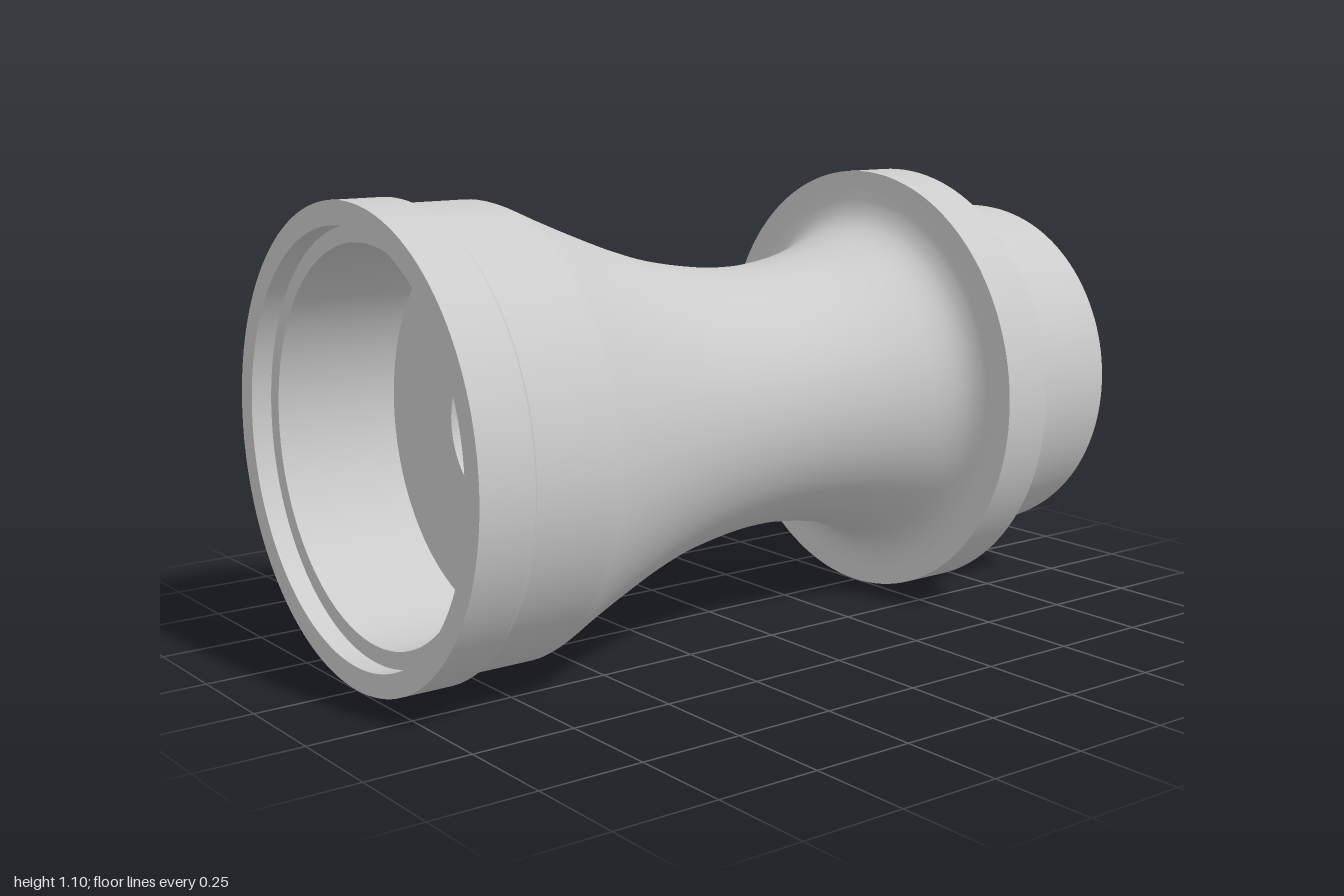
import * as THREE from 'three';

const material = new THREE.MeshStandardMaterial({ color: 0xcccccc });
const SEGMENTS = 128;
const RADIUS = 0.55;

const toPoints = (list) => list.map(([r, z]) => new THREE.Vector2(r, z));

// Revolves one smooth run of [radius, z] points about the z axis.
function surface(points) {
  const geometry = new THREE.LatheGeometry(points, SEGMENTS);
  geometry.rotateX(Math.PI / 2);
  return new THREE.Mesh(geometry, material);
}

// Smooth curve through the points.
function curved(name, list, divisions = 48) {
  const mesh = surface(new THREE.SplineCurve(toPoints(list)).getPoints(divisions));
  mesh.name = name;
  return mesh;
}

// Straight segments meeting at sharp edges.
function faceted(name, list) {
  const group = new THREE.Group();
  group.name = name;
  const points = toPoints(list);
  for (let i = 0; i < points.length - 1; i++) {
    group.add(surface([points[i], points[i + 1]]));
  }
  return group;
}

export function createModel() {
  const model = new THREE.Group();
  model.name = 'flangedSpool';

  // Outer skin, running from the back to the front
  model.add(curved('backSpigot', [
    [0.39, -1], [0.413, -0.99], [0.43, -0.97], [0.439, -0.93], [0.444, -0.85],
    [0.451, -0.76], [0.465, -0.7], [0.486, -0.655], [0.51, -0.635], [0.525, -0.63],
  ]));
  model.add(faceted('collar', [
    [0.525, -0.63], [0.55, -0.63], [0.55, -0.5], [0.5, -0.5],
  ]));
  model.add(curved('waist', [
    [0.5, -0.5], [0.465, -0.495], [0.43, -0.478], [0.402, -0.445], [0.378, -0.39],
    [0.35, -0.29], [0.333, -0.18], [0.328, -0.09], [0.335, 0.03], [0.362, 0.19],
    [0.4, 0.32], [0.445, 0.44], [0.49, 0.55], [0.525, 0.63], [0.534, 0.66],
  ], 80));
  model.add(curved('frontBarrel', [[0.534, 0.66], [0.534, 0.75], [0.534, 0.85]], 4));
  model.add(curved('frontBandShoulder', [
    [0.534, 0.85], [0.537, 0.857], [0.547, 0.865], [0.55, 0.873],
  ], 10));
  model.add(faceted('frontBand', [[0.55, 0.873], [0.55, 1]]));

  // Stepped socket in the front end
  model.add(faceted('frontSocket', [
    [0.55, 1], [0.495, 1], [0.495, 0.95], [0.455, 0.95], [0.455, 0.64], [0.175, 0.64],
  ]));

  // Through hole, then the plain socket in the back end
  model.add(faceted('throughHole', [[0.175, 0.64], [0.175, -0.7]]));
  model.add(faceted('backSocket', [
    [0.175, -0.7], [0.385, -0.7], [0.385, -1], [0.39, -1],
  ].map(([r, z]) => [r, z])));

  // Rest the widest rings on the ground
  model.children.forEach((part) => { part.position.y = RADIUS; });
  return model;
}
